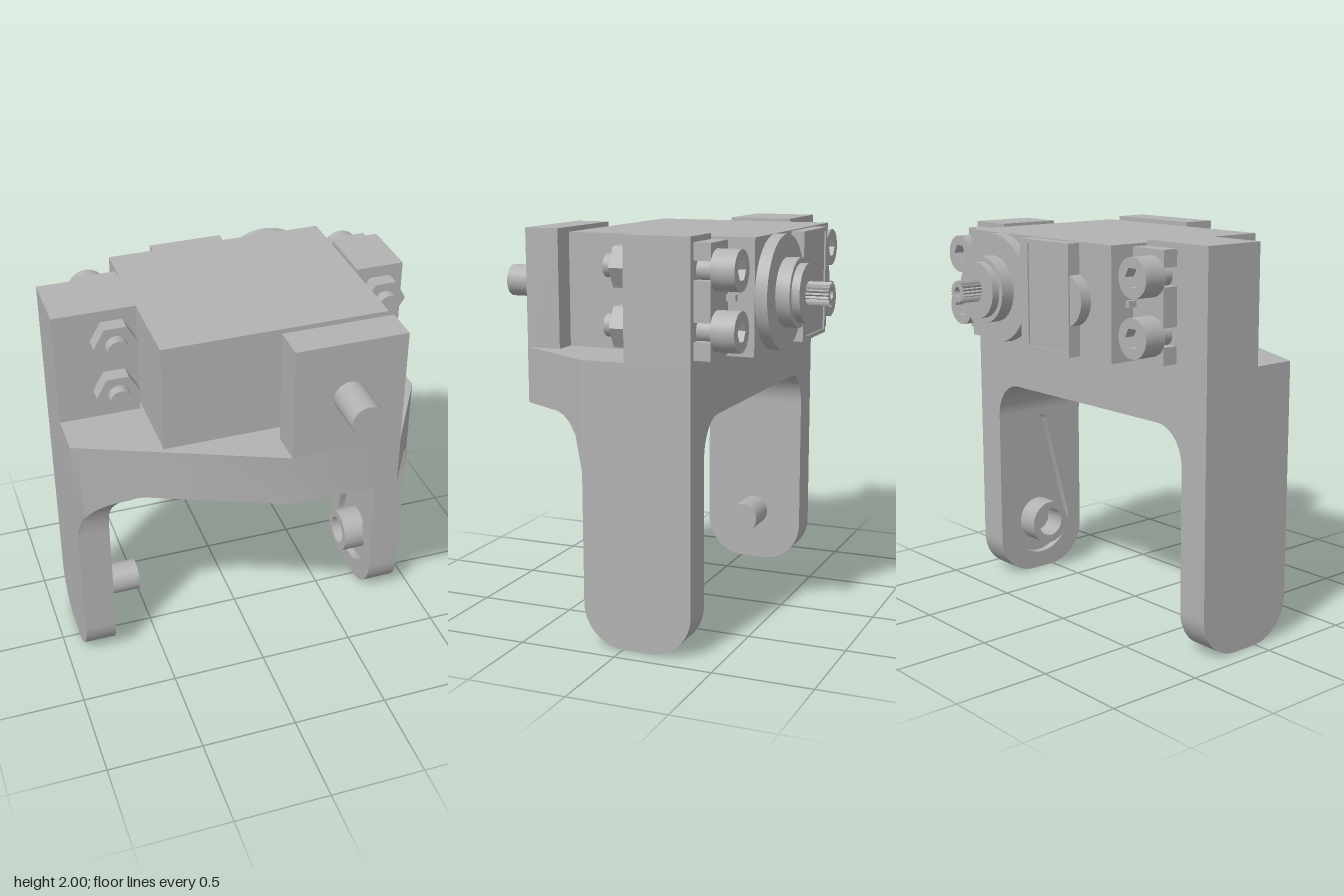
import * as THREE from 'three';
import { toCreasedNormals } from 'three/addons/utils/BufferGeometryUtils.js';

export function createModel() {
  const root = new THREE.Group();
  root.name = 'servoBracket';
  const grey = new THREE.MeshStandardMaterial({ color: 0xb2b2b2 });
  grey.name = 'grey';

  const add = (name, geo, parent = root) => {
    const m = new THREE.Mesh(geo, grey);
    m.name = name;
    parent.add(m);
    return m;
  };
  const box = (name, x0, x1, y0, y1, z0, z1, parent) =>
    add(name, new THREE.BoxGeometry(x1 - x0, y1 - y0, z1 - z0)
      .translate((x0 + x1) / 2, (y0 + y1) / 2, (z0 + z1) / 2), parent);
  const extrude = (shape, depth) => toCreasedNormals(
    new THREE.ExtrudeGeometry(shape, { depth, bevelEnabled: false, curveSegments: 24 }), 0.5);
  // shape in x/y, spanning z0..z1
  const plateZ = (name, shape, z0, z1, parent) =>
    add(name, extrude(shape, z1 - z0).translate(0, 0, z0), parent);
  // shape in -z/y, spanning x0..x1
  const plateX = (name, shape, x0, x1) =>
    add(name, extrude(shape, x1 - x0).rotateY(Math.PI / 2).translate(x0, 0, 0));
  const rod = (name, x, y, r, z0, z1, parent, sides = 32) => add(name, toCreasedNormals(
    new THREE.CylinderGeometry(r, r, z1 - z0, sides).rotateX(Math.PI / 2)
      .rotateZ(sides === 6 ? Math.PI / 6 : 0), 0.5).translate(x, y, (z0 + z1) / 2), parent);
  const disc = (x, y, r) => new THREE.Shape().absarc(x, y, r, 0, Math.PI * 2, false);
  const polygon = (x, y, n, radius) => new THREE.Shape(Array.from({ length: n }, (_, i) => {
    const a = i / n * Math.PI * 2, r = radius(i);
    return new THREE.Vector2(x + r * Math.cos(a), y + r * Math.sin(a));
  }));
  const rect = (x0, x1, y0, y1) => new THREE.Shape(
    [[x0, y0], [x1, y0], [x1, y1], [x0, y1]].map(p => new THREE.Vector2(...p)));

  const XL = -0.905, XR = 0.902, IL = -0.74, IR = 0.735;   // outer and inner leg faces
  const ZB = -0.355, ZF = 0.205, Y0 = 0.94, Y1 = 1.13, Y2 = 1.41, RX = 0.175;

  // Legs with rounded feet
  const legShape = () => {
    const s = new THREE.Shape(), r = 0.215;
    s.moveTo(-ZF, Y0);
    s.lineTo(-ZF, r);
    s.absarc(-ZF + r, r, r, Math.PI, Math.PI * 1.5, false);
    s.absarc(-ZB - r, r, r, Math.PI * 1.5, Math.PI * 2, false);
    s.lineTo(-ZB, Y0);
    return s;
  };
  plateX('rightLeg', legShape(), XL, IL);
  plateX('leftLegOuter', legShape(), IR + 0.04, XR);
  // Inner layer carries a teardrop recess
  const recessed = legShape(), drop = new THREE.Path();
  drop.absarc(0.075, 0.28, 0.19, Math.PI * 0.92, Math.PI * 2.08, false);
  drop.absarc(0.075, 0.86, 0.045, Math.PI * 0.08, Math.PI * 0.92, false);
  drop.closePath();
  recessed.holes.push(drop);
  plateX('leftLegInner', recessed, IR, IR + 0.04);

  // Pivot pin and hollow boss on the inner leg faces
  plateX('pivotPin', disc(0.075, 0.283, 0.083), IL, -0.55);
  const ring = disc(0.075, 0.285, 0.12);
  ring.holes.push(disc(0.075, 0.285, 0.078));
  plateX('pivotBoss', ring, 0.652, IR + 0.04);

  // Cross bar with filleted inner corners
  const arch = new THREE.Shape();
  arch.moveTo(XL, Y0);
  arch.lineTo(IL, Y0);
  arch.absellipse(IL + RX, Y0, RX, Y1 - Y0, Math.PI, Math.PI / 2, true);
  arch.absellipse(IR - RX, Y0, RX, Y1 - Y0, Math.PI / 2, 0, true);
  arch.lineTo(XR, Y0);
  arch.lineTo(XR, Y2);
  arch.lineTo(XL, Y2);
  plateZ('crossBar', arch, ZB, ZF);

  // Tapered shelf in front: underside is the higher of the arch and the leg fillet
  const FZ = 0.19, FY = 0.26, NOSE = 0.625;
  const archY = x => {
    if (x < IL || x > IR) return 0;
    const d = Math.max(IL + RX - x, x - IR + RX, 0) / RX;
    return Y0 + (Y1 - Y0) * Math.sqrt(Math.max(0, 1 - d * d));
  };
  const sideY = z => {
    const d = Math.max(0, ZF + FZ - z) / FZ;
    return Y1 - FY + FY * Math.sqrt(Math.max(0, 1 - d * d));
  };
  const frontZ = x => ZF + (NOSE - ZF) * Math.max(0, Math.min(1, (x - XL) / (0.085 - XL), (XR - x) / (XR - 0.65)));
  const xs = [XL, IL - 0.0005, IR + 0.0005, XR, 0.085, 0.65];
  for (let i = 0; i <= 12; i++) {
    const d = RX * (1 - Math.cos(i / 12 * Math.PI / 2));
    xs.push(IL + d, IR - d);
  }
  for (let i = 1; i < 6; i++) xs.push(XL + (IL - XL) * i / 6, IR + (XR - IR) * i / 6);
  xs.sort((a, b) => a - b);
  const sections = xs.map(x => {
    const zm = frontZ(x), pts = [[x, Y2, ZF], [x, Y2, zm]];
    for (let k = 13; k >= 0; k--) {
      const z = k === 13 ? zm : Math.min(zm, ZF + FZ * (1 - Math.cos(k / 12 * Math.PI / 2)));
      pts.push([x, Math.max(archY(x), sideY(z)), z]);
    }
    return pts;
  });
  const pos = [];
  for (let i = 0; i + 1 < sections.length; i++) {
    const a = sections[i], b = sections[i + 1];
    for (let k = 0; k + 1 < a.length; k++)
      pos.push(...a[k], ...a[k + 1], ...b[k + 1], ...a[k], ...b[k + 1], ...b[k]);
  }
  const shelf = new THREE.BufferGeometry();
  shelf.setAttribute('position', new THREE.Float32BufferAttribute(pos, 3));
  add('frontShelf', toCreasedNormals(shelf, 0.5));

  // Mounting ears, front post and its axle
  box('rightEar', XL, -0.492, Y2, 2, ZB, -0.02);
  box('leftEar', 0.655, XR, Y2, 2, ZB, -0.02);
  box('frontPost', 0.085, 0.648, Y2, 2, 0.447, NOSE);
  rod('frontAxle', 0.365, 1.708, 0.081, NOSE, 0.853);

  // Servo motor
  const servo = new THREE.Group();
  servo.name = 'servo';
  root.add(servo);
  box('servoBody', -0.485, 0.649, 1.43, 1.985, -0.57, 0.385, servo);
  const CX = 0.367, CY = 1.708;
  rod('gearCover', CX + 0.005, CY, 0.277, -0.63, -0.57, servo, 48);
  rod('smallGearCover', -0.205, CY, 0.13, -0.63, -0.57, servo);
  rod('gearCoverBump', 0.12, CY, 0.07, -0.628, -0.57, servo);
  box('coverPlate', -0.25, 0.13, 1.435, 1.98, -0.63, -0.57, servo);
  const frame = rect(-0.25, 0.13, 1.435, 1.98);
  frame.holes.push(rect(-0.23, 0.07, 1.455, 1.96));
  plateZ('coverFrame', frame, -0.638, -0.63, servo);
  rod('outputHub', CX, CY, 0.168, -0.7, -0.63, servo);
  rod('outputCollar', CX, CY, 0.142, -0.74, -0.7, servo);
  const spline = polygon(CX, CY, 40, i => (i % 2 ? 0.048 : 0.057));
  spline.holes.push(disc(CX, CY, 0.025));
  plateZ('outputSpline', spline, -0.853, -0.74, servo);

  // Slotted flanges, bolts and nuts on both sides
  for (const [side, inner, dir, bx] of [['right', -0.485, -1, -0.615], ['left', 0.649, 1, 0.78]]) {
    const span = (a, b) => [inner + dir * a, inner + dir * b].sort((p, q) => p - q);
    box(side + 'FlangeWeb', ...span(0, 0.075), 1.435, 1.972, -0.438, ZB, servo);
    for (const [y0, y1] of [[1.435, 1.52], [1.61, 1.8], [1.89, 1.972]])
      box(side + 'FlangeFinger', ...span(0.075, 0.215), y0, y1, -0.438, ZB, servo);
    box(side + 'FlangeRib', ...span(0, 0.026), 1.69, 1.722, -0.485, -0.438, servo);
    for (const y of [1.565, 1.845]) {
      const bolt = new THREE.Group();
      bolt.name = side + 'Bolt';
      root.add(bolt);
      const rim = disc(bx, y, 0.097);
      rim.holes.push(polygon(bx, y, 6, () => 0.052));
      rod('boltHead', bx, y, 0.097, -0.5, -0.438, bolt);
      plateZ('boltSocket', rim, -0.556, -0.5, bolt);
      rod('boltShank', bx, y, 0.055, -0.438, 0.115, bolt);
      rod('nut', bx, y, 0.111, -0.02, 0.06, bolt, 6);
    }
  }
  return root;
}
